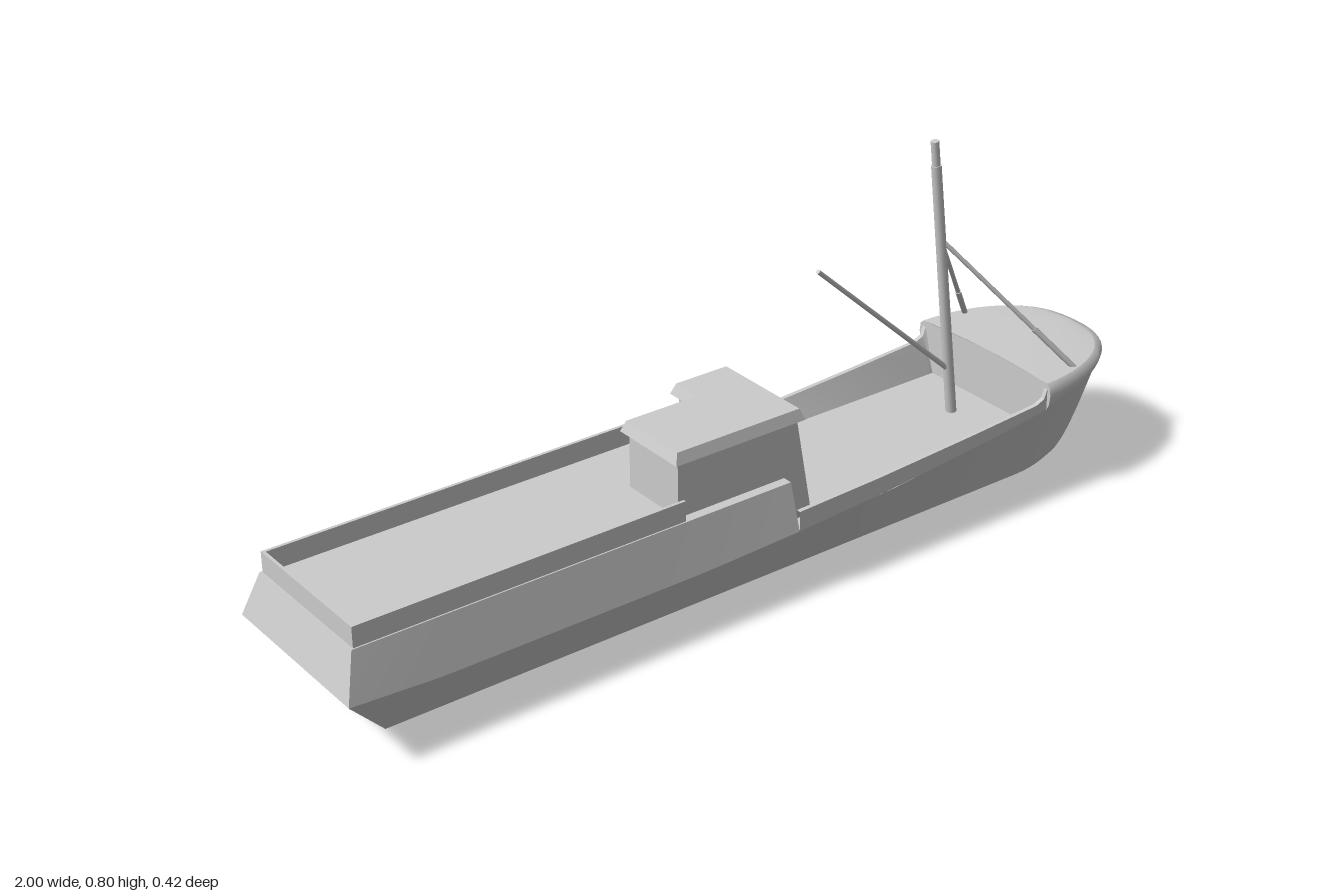
import * as THREE from 'three';
import { toCreasedNormals } from 'three/addons/utils/BufferGeometryUtils.js';

const V = (x, y, z) => new THREE.Vector3(x, y, z);
const mirror = (row) => row.map((p) => V(p.x, p.y, -p.z));

// Piecewise linear curve through [x, y] points
function curve(points) {
  return (x) => {
    for (let i = 1; i < points.length; i++) {
      const [a, b] = [points[i - 1], points[i]];
      if (x <= b[0] || i === points.length - 1) {
        return THREE.MathUtils.mapLinear(x, a[0], b[0], a[1], b[1]);
      }
    }
  };
}
const chineY = curve([[-1, 0.143], [-0.8, 0.132], [-0.2, 0.132], [0.04, 0.14], [0.3, 0.155], [0.55, 0.178], [0.72, 0.2], [1, 0.25]]);
const sheerY = curve([[0.04, 0.185], [0.25, 0.192], [0.5, 0.206], [0.69, 0.219], [0.712, 0.228], [0.725, 0.262]]);

export function createModel() {
  const model = new THREE.Group();
  const grey = new THREE.MeshStandardMaterial({ color: 0xcccccc, side: THREE.DoubleSide });

  function add(geometry, name) {
    const mesh = new THREE.Mesh(geometry, grey);
    mesh.name = name;
    model.add(mesh);
    return mesh;
  }

  // Skin stretched over rows with equal numbers of points
  function loft(rows, name, crease = 0.5) {
    const n = rows[0].length, index = [];
    for (let r = 0; r < rows.length - 1; r++) {
      for (let i = 0; i < n - 1; i++) {
        const a = r * n + i, b = a + n;
        index.push(a, a + 1, b + 1, a, b + 1, b);
      }
    }
    const geometry = new THREE.BufferGeometry().setFromPoints(rows.flat());
    geometry.setIndex(index);
    return add(toCreasedNormals(geometry, crease), name);
  }

  function rod(a, b, r0, r1, name, sides = 10) {
    const mesh = add(new THREE.CylinderGeometry(r1, r0, a.distanceTo(b), sides), name);
    mesh.position.copy(a).lerp(b, 0.5);
    mesh.quaternion.setFromUnitVectors(V(0, 1, 0), b.clone().sub(a).normalize());
  }

  // Rounded bow outline, from the shoulder at x0 to the stem at x1
  const X0 = 0.72, BOW = 14;
  function bow(x1, w, yAt) {
    return Array.from({ length: BOW + 1 }, (_, i) => {
      const a = (i / BOW) * Math.PI / 2;
      const z = i === BOW ? 0 : w * Math.cos(a) ** 0.8;
      return V(X0 + (x1 - X0) * Math.sin(a), yAt(Math.sin(a)), z);
    });
  }
  const wrap = (half) => [...half, ...mirror(half).reverse().slice(1)];

  // Lower hull: level f runs from the flat bottom (0) to the chine (1)
  function level(f) {
    const w = 0.11 + 0.09 * f, stern = -0.88 - 0.12 * f, half = [];
    for (let i = 0; i < 20; i++) {
      const t = i / 20;
      half.push(V(THREE.MathUtils.lerp(stern, X0, t), f * chineY(THREE.MathUtils.lerp(-1, X0, t)), w));
    }
    return half.concat(bow(0.9 + 0.095 * f ** 0.35, w, (s) => f * (0.2 + 0.05 * s)));
  }
  const levels = [0, 0.05, 0.12, 0.25, 0.45, 0.7, 1].map(level);
  loft(levels.map(wrap), 'hull', 0.6);
  loft([levels[0], mirror(levels[0])], 'hullBottom');
  loft(levels.map((l) => [l[0], mirror(l)[0]]), 'lowerTransom');

  // Aft strake leaning inwards, its transom, front bulkhead and deck
  const strakeLow = [], strakeTop = [];
  for (let i = 0; i <= 16; i++) {
    const x = THREE.MathUtils.lerp(-1, 0.04, i / 16);
    strakeLow.push(V(x, chineY(x), 0.2));
    strakeTop.push(V(THREE.MathUtils.lerp(-0.97, 0.04, i / 16), 0.24, 0.17));
  }
  loft([strakeLow, strakeTop], 'leftStrake');
  loft([mirror(strakeTop), mirror(strakeLow)], 'rightStrake');
  for (const [i, name] of [[0, 'upperTransom'], [16, 'deckBreak']]) {
    loft([strakeLow, strakeTop].map((r) => [r[i], mirror(r)[i]]), name);
  }
  loft([strakeTop, mirror(strakeTop)], 'aftDeck');

  // Low wall around the aft deck
  function wall(x0, x1, z0, z1, name) {
    const mesh = add(new THREE.BoxGeometry(x1 - x0, 0.05, z1 - z0), name);
    mesh.position.set((x0 + x1) / 2, 0.26, (z0 + z1) / 2);
  }
  wall(-0.965, -0.22, 0.16, 0.167, 'leftWall');
  wall(-0.965, 0.04, -0.167, -0.16, 'rightWall');
  wall(-0.965, -0.958, -0.167, 0.167, 'sternWall');

  // Forward bulwarks with sloping inner faces, and the well deck
  const rows = [[], [], [], []];
  for (const x of [0.04, 0.14, 0.25, 0.38, 0.5, 0.6, 0.69, 0.7, 0.712, 0.72, 0.725]) {
    const y = sheerY(x);
    rows[0].push(V(x, chineY(x), 0.2));
    rows[1].push(V(x, y, 0.2));
    rows[2].push(V(x, y, 0.19));
    rows[3].push(V(x, 0.145, 0.162));
  }
  loft(rows, 'leftBulwark');
  loft(rows.map(mirror), 'rightBulwark');
  loft([rows[3], mirror(rows[3])], 'wellDeck');

  // Raised bow: bulging rim, cambered deck and aft bulkhead
  const rim = [
    bow(0.995, 0.2, (s) => 0.2 + 0.05 * s),
    bow(0.999, 0.207, (s) => 0.213 + 0.039 * s),
    bow(1, 0.21, (s) => 0.235 + 0.02 * s),
    bow(0.995, 0.207, (s) => 0.254 + 0.006 * s),
    bow(0.98, 0.198, (s) => 0.262 + 0.003 * s),
  ];
  loft(rim.map(wrap), 'bowRim', 0.8);
  const edge = rim[4];
  const deckRows = [1, 0.6, 0.25, 0, -0.25, -0.6, -1].map((k) =>
    edge.map((p) => V(p.x, p.y + 0.008 * (1 - k * k) * (p.z / 0.198), p.z * k)));
  loft(deckRows, 'bowDeck');
  const side = [V(X0, 0.145, 0.165), ...rim.map((r) => r[0])];
  loft([side, side.map((p) => V(X0, p.y < 0.26 ? p.y : 0.27, 0)), mirror(side)], 'bowBulkhead');

  // Wheelhouse: stepped plan, extruded upwards, grown outwards by o
  const grow = (v, o) => v + (v > 0 ? o : -o);
  const plan = [[-0.225, 0.148], [0.07, 0.148], [0.07, -0.082], [-0.05, -0.082], [-0.05, -0.012], [-0.225, -0.012]];
  function house(o, y0, y1, move, name) {
    const shape = new THREE.Shape(plan.map(([x, z]) => new THREE.Vector2(grow(x, o), -grow(z, o))));
    const geometry = new THREE.ExtrudeGeometry(shape, { depth: y1 - y0, bevelEnabled: false });
    geometry.rotateX(-Math.PI / 2).translate(0, y0, 0);
    const p = geometry.attributes.position;
    for (let i = 0; i < p.count; i++) move(p, i);
    geometry.computeVertexNormals();
    add(geometry, name);
  }
  // Raked front face
  house(0, 0.145, 0.37, (p, i) => {
    if (p.getX(i) > 0) p.setX(i, p.getX(i) + (0.37 - p.getY(i)) * 0.18);
  }, 'wheelhouse');
  // Roof tapering towards the top
  house(0.013, 0.364, 0.388, (p, i) => {
    if (p.getY(i) > 0.38) {
      p.setX(i, grow(p.getX(i), -0.009));
      p.setZ(i, grow(p.getZ(i), -0.009));
    }
  }, 'wheelhouseRoof');

  // Raked mast with its topmast, boom and two stays
  const mastAt = (y) => V(0.55 + (0.795 - y) * 0.122, y, 0);
  rod(mastAt(0.143), mastAt(0.74), 0.012, 0.011, 'mast', 14);
  rod(mastAt(0.735), mastAt(0.795), 0.009, 0.009, 'topmast', 14);
  rod(mastAt(0.25), V(0.243, 0.585, 0), 0.006, 0.005, 'boom');
  for (const s of [1, -1]) {
    const foot = V(0.825, 0.258, 0.175 * s), head = mastAt(0.568);
    const joint = foot.clone().lerp(head, 0.31);
    rod(foot, joint, 0.0065, 0.0065, s > 0 ? 'leftStayFoot' : 'rightStayFoot');
    rod(joint, head, 0.005, 0.005, s > 0 ? 'leftStay' : 'rightStay');
  }
  return model;
}
